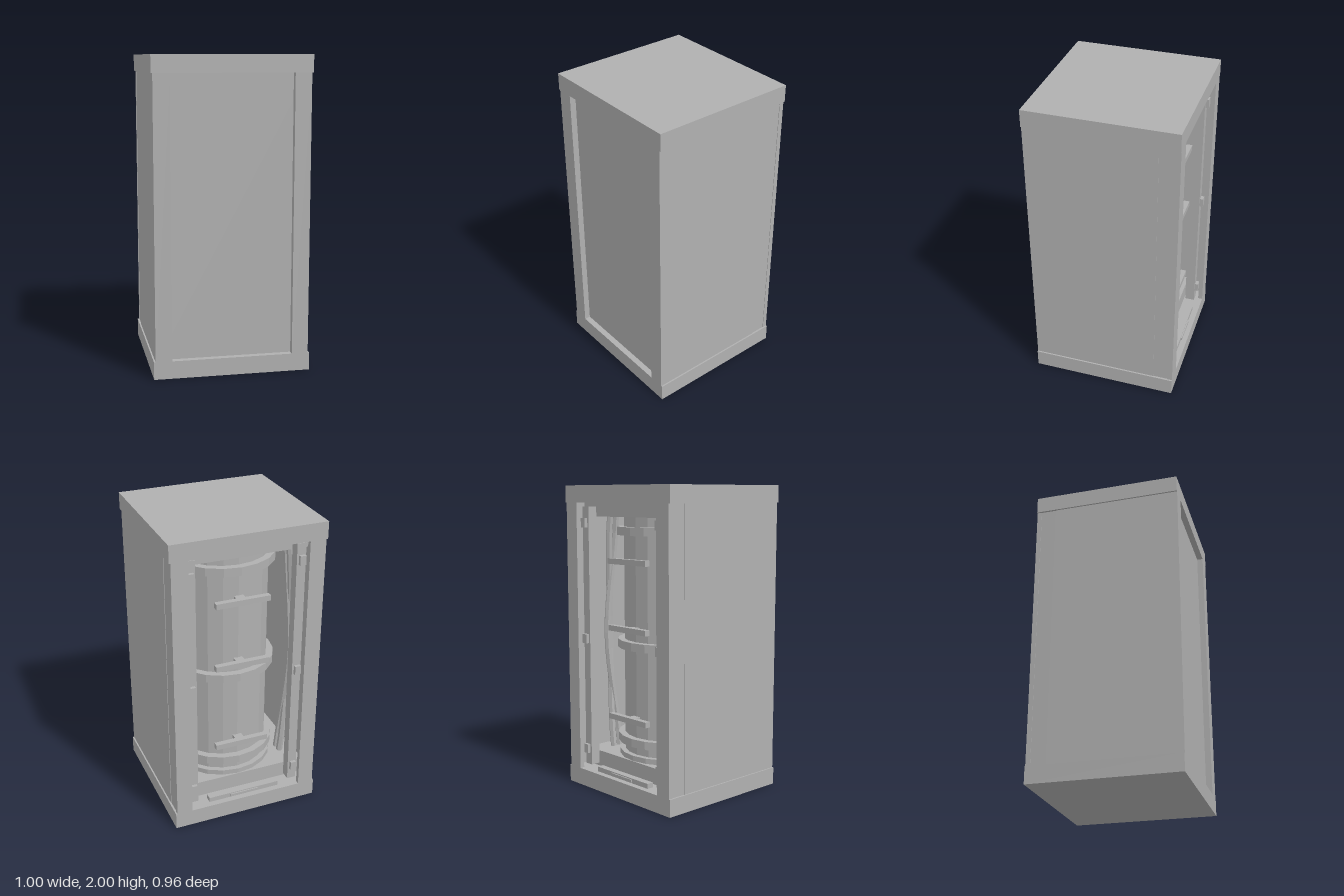
import * as THREE from 'three';

export function createModel() {
  const model = new THREE.Group();
  const grey = new THREE.MeshStandardMaterial({ color: 0xb0b0b0, flatShading: true });
  grey.name = 'plain grey';

  const add = (name, geometry, x = 0, y = 0, z = 0) => {
    const mesh = new THREE.Mesh(geometry, grey);
    mesh.name = name;
    mesh.position.set(x, y, z);
    model.add(mesh);
    return mesh;
  };
  // box given by its min and max on each axis
  const box = (name, x0, x1, y0, y1, z0, z1) =>
    add(name, new THREE.BoxGeometry(x1 - x0, y1 - y0, z1 - z0),
      (x0 + x1) / 2, (y0 + y1) / 2, (z0 + z1) / 2);
  // the same box on both sides of the cabinet
  const pair = (name, x0, x1, ...rest) => {
    box(name + 'Left', x0, x1, ...rest);
    box(name + 'Right', -x1, -x0, ...rest);
  };

  // cabinet shell, open at the back
  box('bottomCap', -0.5, 0.5, 0, 0.113, -0.48, 0.48);
  box('topCap', -0.5, 0.5, 1.89, 2, -0.48, 0.48);
  pair('sidePanel', 0.47, 0.49, 0.113, 1.89, -0.35, 0.44);
  pair('sideStrip', 0.47, 0.487, 0.113, 1.89, -0.47, -0.35);
  pair('frontFramePost', 0.385, 0.49, 0.113, 1.89, 0.44, 0.48);
  pair('backFramePost', 0.385, 0.49, 0.113, 1.89, -0.48, -0.45);
  box('frontPanel', -0.47, 0.47, 0.113, 1.89, 0.42, 0.44);

  // inner base and header that hold the tank
  box('tankPlatform', -0.47, 0.47, 0.113, 0.22, -0.35, 0.42);
  box('tankHeader', -0.47, 0.47, 1.8, 1.89, -0.35, 0.42);

  // tank with bands
  const cylinder = (r, h) => new THREE.CylinderGeometry(r, r, h, 20);
  add('tank', cylinder(0.31, 1.58), 0, 1.01, 0);
  for (const y of [0.342, 0.975, 1.71]) add('tankBand', cylinder(0.355, 0.054), 0, y, 0);
  add('tankFoot', cylinder(0.345, 0.035), 0, 0.237, 0);

  // horizontal bars on short mounts behind the opening
  for (const y of [0.5, 1.087, 1.52]) {
    box('crossBar', -0.18, 0.18, y - 0.018, y + 0.018, -0.392, -0.355);
    box('barMount', -0.03, 0.03, y - 0.012, y + 0.012, -0.355, -0.3);
  }

  // door rails with hinges
  pair('rail', 0.325, 0.385, 0.14, 1.865, -0.43, -0.365);
  for (const y of [0.25, 1, 1.76]) {
    pair('hinge', 0.338, 0.378, y - 0.03, y + 0.03, -0.452, -0.43);
  }

  // bowed hoses beside the tank
  for (const side of [1, -1]) {
    for (const [xMid, z, zMid] of [[0.435, -0.2, -0.17], [0.415, -0.15, -0.21]]) {
      const path = new THREE.CatmullRomCurve3([
        new THREE.Vector3(side * 0.37, 0.22, z),
        new THREE.Vector3(side * 0.385, 0.36, z),
        new THREE.Vector3(side * xMid, 1, zMid),
        new THREE.Vector3(side * 0.4, 1.64, z),
        new THREE.Vector3(side * 0.385, 1.8, z),
      ]);
      add('hose', new THREE.TubeGeometry(path, 14, 0.022, 6));
    }
  }

  // floor latch with a small grip
  box('floorLatch', -0.25, 0.25, 0.113, 0.145, -0.44, -0.395);
  box('latchGrip', -0.1, 0.1, 0.12, 0.138, -0.448, -0.44);

  return model;
}
